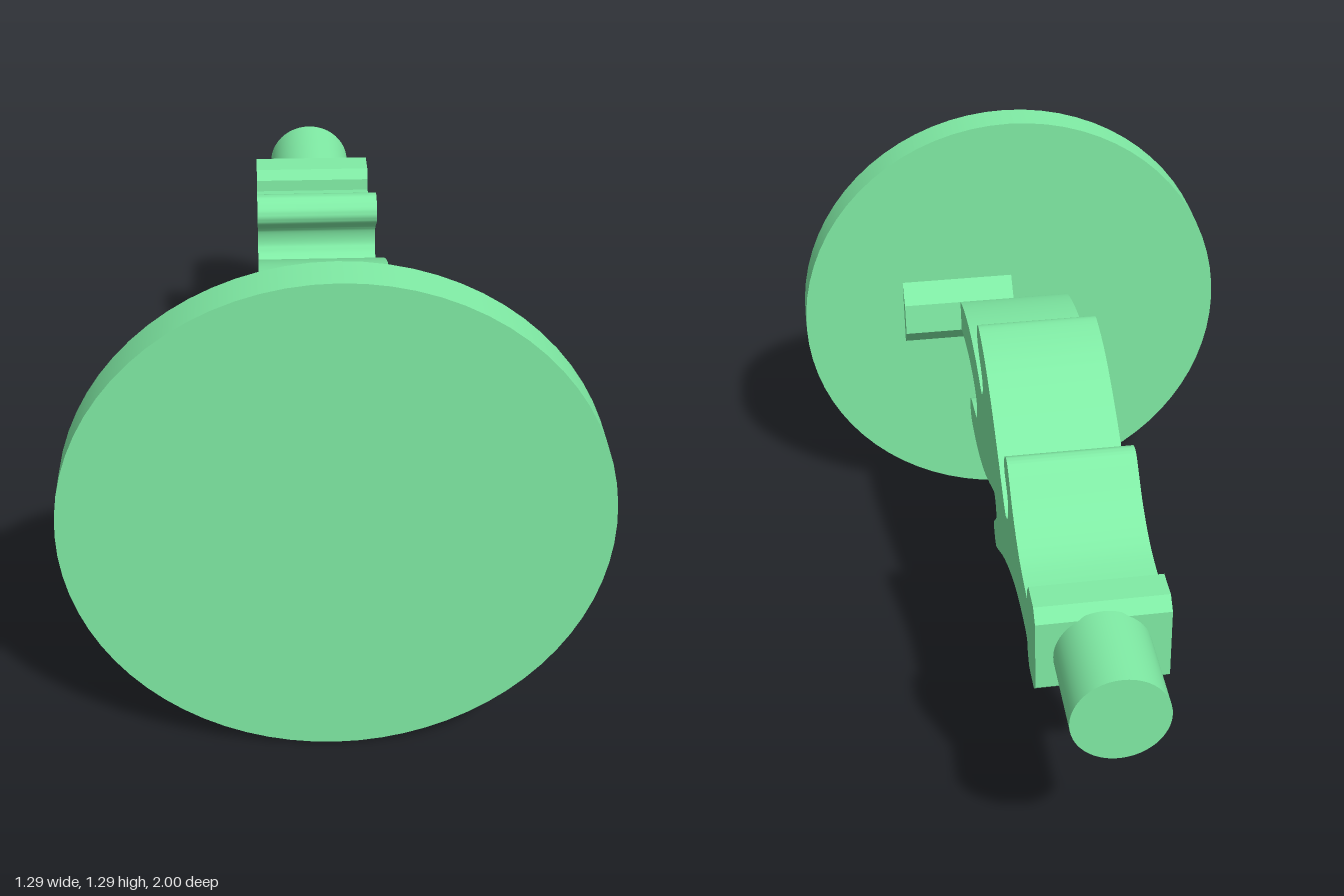
import * as THREE from 'three';
import { toCreasedNormals } from 'three/addons/utils/BufferGeometryUtils.js';

const CENTRE_Y = 0.647;

export function createModel() {
  const model = new THREE.Group();
  const material = new THREE.MeshStandardMaterial({ color: 0x80eca5 });

  function add(name, geometry) {
    const mesh = new THREE.Mesh(geometry, material);
    mesh.name = name;
    model.add(mesh);
    return mesh;
  }

  // Extrudes a (z, y) profile across x, from x0 to x1
  function extrudeAcross(shape, x0, x1) {
    const geometry = new THREE.ExtrudeGeometry(shape, {
      depth: x1 - x0, bevelEnabled: false, curveSegments: 5,
    });
    geometry.rotateY(-Math.PI / 2).translate(x1, 0, 0);
    return toCreasedNormals(geometry, 0.6);
  }

  // Cylinder lying along z, from z0 to z1
  function rod(radius, z0, z1, sides) {
    const geometry = new THREE.CylinderGeometry(radius, radius, z1 - z0, sides);
    geometry.rotateX(Math.PI / 2).translate(0, CENTRE_Y, (z0 + z1) / 2);
    return geometry;
  }

  // Round plate and rear peg
  add('plate', rod(0.647, 0.9, 1, 72));
  add('peg', rod(0.123, -1, -0.75, 48));

  // Flame-shaped stem: each run is a smooth curve, with corners between runs
  const upperTongue = [
    [0.9, 0.69], [0.85, 0.73], [0.73, 0.763], [0.58, 0.779], [0.436, 0.769], [0.319, 0.742],
    [0.287, 0.747], [0.265, 0.779], [0.281, 0.811], [0.319, 0.833], [0.356, 0.854],
    [0.383, 0.892], [0.367, 0.928], [0.319, 0.938], [0.195, 0.913], [0.062, 0.854],
    [-0.072, 0.774], [-0.19, 0.694], [-0.233, 0.688], [-0.27, 0.72], [-0.27, 0.769],
    [-0.244, 0.797], [-0.21, 0.823], [-0.206, 0.857], [-0.233, 0.886], [-0.265, 0.888],
    [-0.292, 0.87], [-0.378, 0.795], [-0.49, 0.742], [-0.624, 0.724],
  ];
  const collar = [
    [-0.626, 0.758], [-0.648, 0.784], [-0.728, 0.784], [-0.758, 0.753],
    [-0.758, 0.554], [-0.73, 0.527], [-0.65, 0.527], [-0.626, 0.55], [-0.618, 0.584],
  ];
  const lowerTongue = [
    [-0.58, 0.597], [-0.447, 0.592], [-0.313, 0.56], [-0.153, 0.495], [0.003, 0.41],
    [0.035, 0.404], [0.062, 0.431], [0.06, 0.46], [0.035, 0.485], [0.008, 0.506],
    [0.003, 0.544], [0.03, 0.574], [0.072, 0.565], [0.17, 0.522], [0.3, 0.474],
    [0.463, 0.442], [0.6, 0.447], [0.635, 0.48], [0.624, 0.517], [0.586, 0.533],
    [0.474, 0.549], [0.442, 0.576], [0.447, 0.619], [0.517, 0.651], [0.65, 0.661],
    [0.838, 0.64], [0.9, 0.62],
  ];
  const toPoints = (run) => run.map(([z, y]) => new THREE.Vector2(z, y));
  const stem = new THREE.Shape();
  stem.moveTo(...upperTongue[0]);
  stem.splineThru(toPoints(upperTongue.slice(1)));
  collar.forEach(([z, y]) => stem.lineTo(z, y));
  stem.splineThru(toPoints(lowerTongue));
  stem.closePath();
  add('stem', extrudeAcross(stem, -0.17, 0.167));

  // Tapered brace joining stem and plate, offset to one side
  const brace = new THREE.Shape(toPoints([
    [0.905, 0.79], [0.849, 0.73], [0.838, 0.637], [0.905, 0.57],
  ]));
  add('brace', extrudeAcross(brace, 0, 0.34));

  return model;
}
